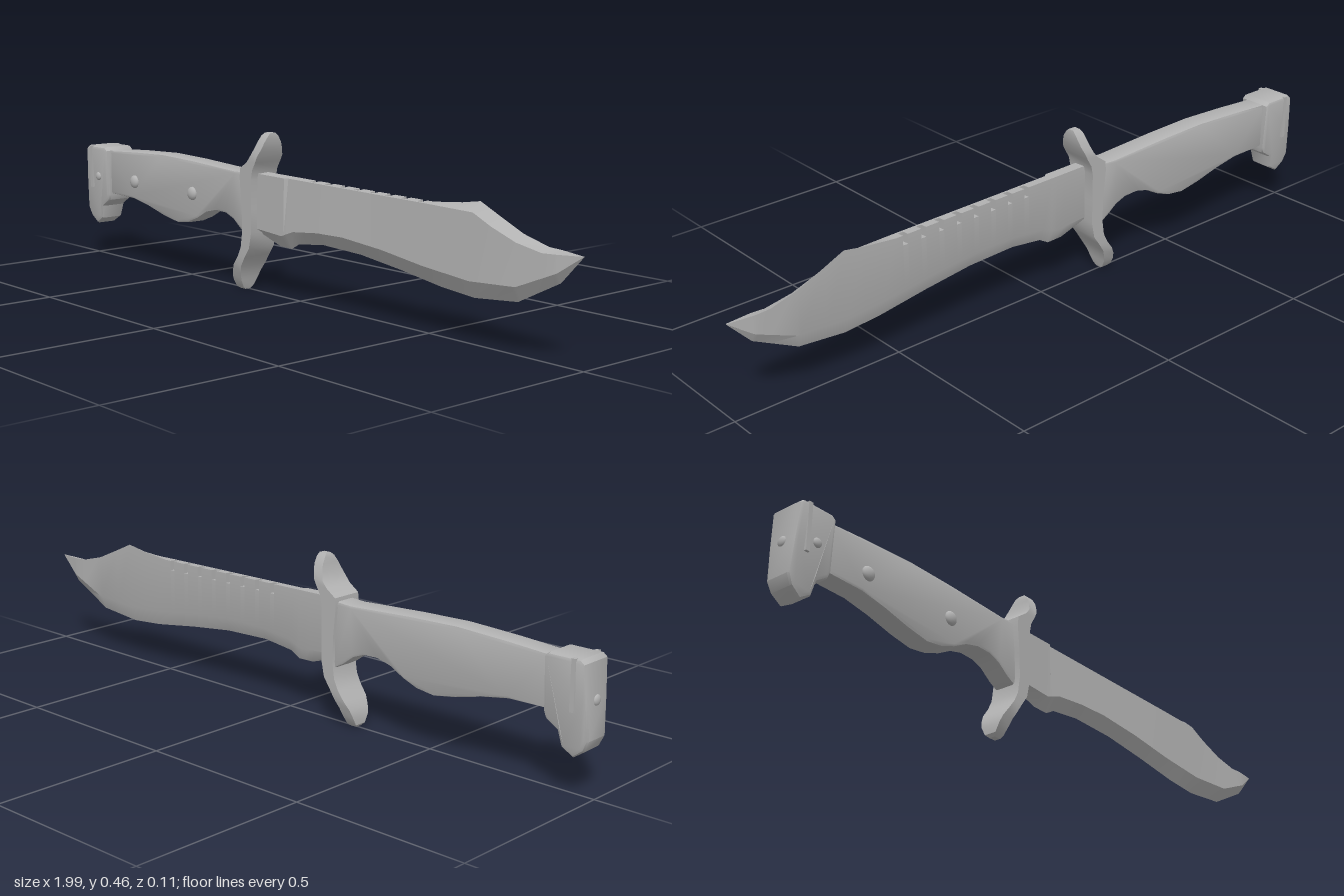
import * as THREE from 'three';
import { toCreasedNormals } from 'three/addons/utils/BufferGeometryUtils.js';

const steel = new THREE.MeshStandardMaterial({ color: 0xb2b2b2 });
steel.name = 'grey steel';

// Piecewise linear lookup in a list of [position, value] pairs
function at(table, p) {
  if (p <= table[0][0]) return table[0][1];
  for (let i = 1; i < table.length; i++) {
    const [a, u] = table[i - 1], [b, v] = table[i];
    if (p <= b) return u + (v - u) * (p - a) / (b - a);
  }
  return table[table.length - 1][1];
}

// Skin a closed solid over rings of equal length
function loft(rings) {
  const n = rings[0].length, last = (rings.length - 1) * n, index = [];
  for (let i = 0; i < rings.length - 1; i++) {
    for (let j = 0; j < n; j++) {
      const a = i * n + j, b = i * n + (j + 1) % n;
      index.push(a, b, a + n, b, b + n, a + n);
    }
  }
  for (let j = 1; j < n - 1; j++) index.push(0, j + 1, j, last, last + j, last + j + 1);
  const g = new THREE.BufferGeometry();
  g.setAttribute('position', new THREE.Float32BufferAttribute(rings.flat(2), 3));
  g.setIndex(index);
  return toCreasedNormals(g, 0.45);
}

function slab(points, half, bevel) {
  const shape = new THREE.Shape(points.map(p => new THREE.Vector2(...p)));
  const g = new THREE.ExtrudeGeometry(shape, {
    depth: 2 * (half - bevel), bevelEnabled: true, bevelSegments: 2,
    bevelSize: bevel, bevelThickness: bevel, bevelOffset: -bevel,
  });
  return g.translate(0, 0, bevel - half);
}

function bladeGeometry() {
  const spine = [[-0.17, 0.348], [0.5, 0.34], [0.6, 0.35], [0.66, 0.36], [0.72, 0.333], [0.8, 0.298], [0.88, 0.277], [0.995, 0.272]];
  const swedge = [[-0.17, 0.346], [0.5, 0.338], [0.66, 0.335], [0.72, 0.308], [0.8, 0.28], [0.88, 0.266], [0.995, 0.272]];
  const bevel = [[-0.17, 0.19], [-0.05, 0.182], [0, 0.2], [0.1, 0.21], [0.2, 0.212], [0.35, 0.2], [0.5, 0.18], [0.66, 0.166], [0.81, 0.175], [0.93, 0.225], [0.995, 0.271]];
  const edge = [[-0.17, 0.175], [-0.08, 0.147], [-0.03, 0.146], [0, 0.163], [0.1, 0.175], [0.25, 0.17], [0.4, 0.152], [0.55, 0.13], [0.66, 0.121], [0.8, 0.134], [0.93, 0.2], [0.995, 0.27]];
  const topFront = [[-0.04, 0.026], [-0.03, 0.018], [0.92, 0.018], [0.995, 0.006]];
  const lowFront = [[0.8, 0.028], [0.93, 0.022], [0.995, 0.006]];
  const back = [[0.92, -0.01], [0.995, 0.003]];

  // Each station is [x, notch depth]; paired stations make square notch walls
  const stations = [...new Set([spine, bevel, edge, topFront].flatMap(t => t.map(p => p[0])))].map(x => [x, 0]);
  const notches = Array.from({ length: 8 }, (_, i) => 0.053 + i * 0.0585);
  const width = 0.016, depth = 0.028;
  const clear = stations.filter(([x]) => !notches.some(s => x >= s && x <= s + width));
  for (const s of notches) clear.push([s, 0], [s + 1e-5, depth], [s + width - 1e-5, depth], [s + width, 0]);
  clear.sort((a, b) => a[0] - b[0]);

  return loft(clear.map(([x, d]) => {
    const zb = at(back, x), zf = at(topFront, x), zm = zb + (zf - zb) * 0.75;
    const yt = at(spine, x), yf = at(swedge, x), ym = yt + (yf - yt) * 0.75;
    return [
      [x, yt - d, zb], [x, ym - d, zm], [x, ym, zm], [x, yf, zf],
      [x, at(bevel, x), at(lowFront, x)], [x, at(edge, x), 0.005], [x, at(bevel, x), zb],
    ];
  }));
}

function guardGeometry() {
  // [y, left x, right x, half thickness]
  const rows = [
    [0.002, -0.25, -0.228, 0.009], [0.01, -0.257, -0.225, 0.018], [0.033, -0.257, -0.22, 0.03],
    [0.055, -0.25, -0.213, 0.037], [0.078, -0.236, -0.202, 0.045], [0.105, -0.216, -0.185, 0.046],
    [0.133, -0.202, -0.165, 0.046], [0.18, -0.195, -0.155, 0.046], [0.25, -0.197, -0.155, 0.046],
    [0.33, -0.205, -0.155, 0.046], [0.358, -0.203, -0.149, 0.046], [0.38, -0.172, -0.136, 0.046],
    [0.398, -0.157, -0.127, 0.046], [0.42, -0.149, -0.118, 0.037], [0.437, -0.144, -0.114, 0.03],
    [0.455, -0.141, -0.112, 0.018], [0.463, -0.136, -0.113, 0.009],
  ];
  return loft(rows.map(([y, l, r, h]) => [[l, y, 0.004 + h], [r, y, 0.004 + h], [r, y, 0.004 - h], [l, y, 0.004 - h]]));
}

function pommelGeometry() {
  const g = slab([
    [-0.872, 0.345], [-0.885, 0.355], [-0.975, 0.355], [-0.987, 0.345], [-0.993, 0.25], [-0.998, 0.155],
    [-0.985, 0.127], [-0.955, 0.105], [-0.922, 0.125], [-0.912, 0.165], [-0.878, 0.188], [-0.872, 0.205],
  ], 0.051, 0.01);
  // Thickness narrows toward the prong
  const p = g.attributes.position;
  const taper = [[0.1, 0.68], [0.17, 0.82], [0.33, 1]];
  for (let i = 0; i < p.count; i++) p.setZ(i, p.getZ(i) * at(taper, p.getY(i)));
  return toCreasedNormals(g, 0.6);
}

export function createModel() {
  const model = new THREE.Group();
  model.name = 'knife';
  const add = (name, geometry) => {
    const mesh = new THREE.Mesh(geometry, steel);
    mesh.name = name;
    model.add(mesh);
    return mesh;
  };

  add('blade', bladeGeometry());
  add('guard', guardGeometry());
  add('pommel', pommelGeometry());

  // Grip with a finger groove behind the guard
  add('grip', toCreasedNormals(slab([
    [-0.88, 0.345], [-0.88, 0.208], [-0.76, 0.206], [-0.68, 0.192], [-0.6, 0.172], [-0.53, 0.16],
    [-0.475, 0.167], [-0.43, 0.184], [-0.385, 0.208], [-0.34, 0.219], [-0.295, 0.217], [-0.26, 0.204],
    [-0.225, 0.178], [-0.19, 0.16], [-0.19, 0.348], [-0.25, 0.345], [-0.45, 0.355], [-0.6, 0.359], [-0.75, 0.353],
  ], 0.033, 0.008), 0.6));

  // Raised band around the pommel
  add('pommelBand', new THREE.BoxGeometry(0.012, 0.132, 0.104)).position.set(-0.957, 0.289, 0);

  // Domed rivets on the front face
  for (const [x, y, z, r] of [[-0.745, 0.26, 0.033, 0.02], [-0.45, 0.257, 0.033, 0.02], [-0.925, 0.26, 0.046, 0.013]]) {
    const rivet = add('rivet', new THREE.SphereGeometry(r, 16, 10));
    rivet.position.set(x, y, z);
    rivet.scale.z = 0.6;
  }

  // Stud on the butt end
  const stud = add('buttStud', new THREE.SphereGeometry(0.014, 16, 10));
  stud.position.set(-0.992, 0.25, 0);
  stud.scale.x = 0.5;

  return model;
}
